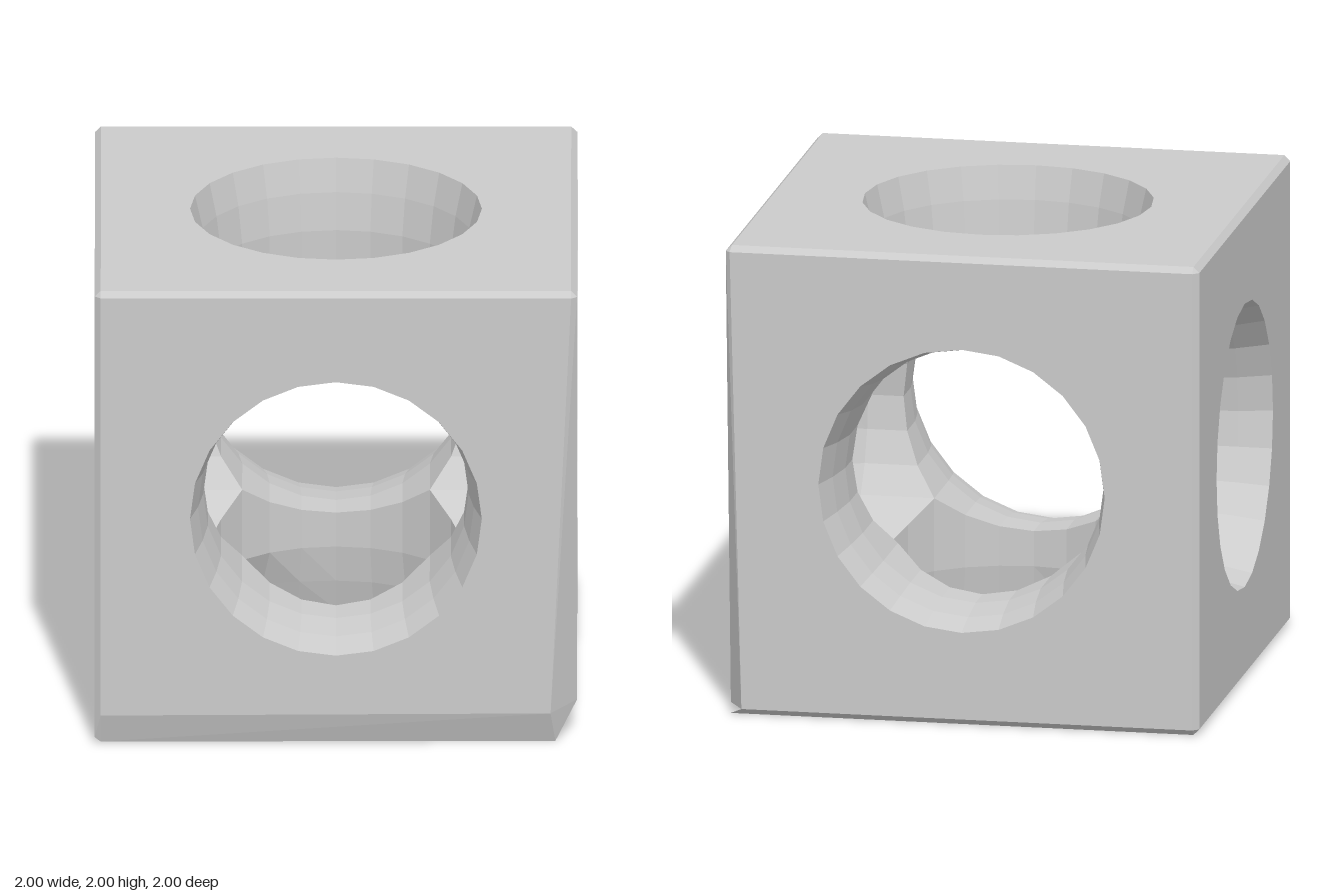
import * as THREE from 'three';

const N = 24;       // sides of each bore
const R = 0.55;     // bore radius
const BEVEL = 0.025;

// Wider edge wear: 'face + neighbouring side': inset at the two ends of that edge
const WORN = {
  'z+y-': [0.13, 0.14], 'y-z+': [0.04, 0.05],
  'x+y-': [0.02, 0.15], 'y-x+': [0.02, 0.09],
  'z+x+': [0.11, 0.025], 'x+z+': [0.14, 0.02],
  'x+z-': [0.13, 0.02], 'z-x+': [0.07, 0.02],
};
const key = (axis, sign) => 'xyz'[axis] + (sign > 0 ? '+' : '-');

// Distance a face is held back from its neighbour, at one end of their edge
function inset(a, sa, b, sb, end) {
  const worn = WORN[key(a, sa) + key(b, sb)];
  return worn ? worn[end > 0 ? 1 : 0] : BEVEL;
}

// Corner of face (axis a) nearest the cube corner with the given signs
function faceCorner(a, signs) {
  const p = [...signs], b = (a + 1) % 3, c = (a + 2) % 3;
  p[b] *= 1 - inset(a, signs[a], b, signs[b], signs[c]);
  p[c] *= 1 - inset(a, signs[a], c, signs[c], signs[b]);
  return new THREE.Vector3(...p);
}

// Put a point given in face coordinates (depth, u, v) into space
function place(a, depth, u, v) {
  const p = [0, 0, 0];
  p[a] = depth; p[(a + 1) % 3] = u; p[(a + 2) % 3] = v;
  return new THREE.Vector3(...p);
}

// Hole outline at the surface: round, with squared-off flares on two faces
function rimRadius(a, s, cos, sin) {
  const box = Math.max(Math.abs(cos), Math.abs(sin));
  if (a === 0 && s > 0) return cos > 0 ? Math.min(0.67 / box, 0.85) : 0.67 - 0.01 * (1 + cos);
  if (a === 1 && s < 0) return sin < 0 ? Math.min(0.61 / box, 0.83) : 0.61;
  return 0.605;
}

// Collect triangles, turning each one to face the hinted direction
function surface(name) {
  const pts = [];
  const tri = (p, q, r, hint) => {
    const n = q.clone().sub(p).cross(r.clone().sub(p));
    if (n.lengthSq() < 1e-12) return;
    pts.push(...(n.dot(hint) < 0 ? [p, r, q] : [p, q, r]));
  };
  const quad = (p, q, r, s, hint) => { tri(p, q, r, hint); tri(p, r, s, hint); };
  const mesh = () => {
    const geometry = new THREE.BufferGeometry().setFromPoints(pts);
    geometry.computeVertexNormals();
    const material = new THREE.MeshStandardMaterial({ color: 0xcccccc, flatShading: true });
    const m = new THREE.Mesh(geometry, material);
    m.name = name;
    return m;
  };
  return { tri, quad, mesh };
}

// Flat face around a hole, and the flared half bore behind it
function buildSide(a, s) {
  const plate = surface('facePlate'), bore = surface('boreWall');
  const corner = (su, sv) => faceCorner(a, place(a, s, su, sv).toArray());
  const [c00, c10, c01, c11] = [corner(-1, -1), corner(1, -1), corner(-1, 1), corner(1, 1)];

  const columns = [];
  for (let i = 0; i <= N; i++) {
    const t = (i / N) * Math.PI * 2, cos = Math.cos(t), sin = Math.sin(t);
    const box = Math.max(Math.abs(cos), Math.abs(sin));
    const u = (cos / box + 1) / 2, v = (sin / box + 1) / 2;
    const outer = c00.clone().lerp(c10, u).lerp(c01.clone().lerp(c11, u), v);
    const rim = rimRadius(a, s, cos, sin);
    // rim, flare, straight wall, then the line where the bores meet
    const profile = [[rim, 1], [R + (rim - R) * 0.4, 0.86], [R, 0.7], [R, R * box]];
    columns.push({
      outer,
      wall: profile.map(([r, d]) => place(a, s * d, r * cos, r * sin)),
      inward: place(a, 0, -cos, -sin),
    });
  }
  for (let i = 0; i < N; i++) {
    const p = columns[i], q = columns[i + 1];
    plate.quad(p.outer, q.outer, q.wall[0], p.wall[0], place(a, s, 0, 0));
    const hint = p.inward.clone().add(q.inward);
    for (let k = 0; k < 3; k++) bore.quad(p.wall[k], q.wall[k], q.wall[k + 1], p.wall[k + 1], hint);
  }
  const side = new THREE.Group();
  side.name = ['side', 'vertical', 'frontBack'][a] + (s > 0 ? 'PlusFace' : 'MinusFace');
  side.add(plate.mesh(), bore.mesh());
  return side;
}

// Worn bevels on the twelve edges and eight corners
function buildBevels() {
  const bevels = surface('edgeBevels');
  for (const s of [-1, 1]) for (const t of [-1, 1]) {
    for (let a = 0; a < 3; a++) {
      const b = (a + 1) % 3;
      const at = (end) => place(a, s, t, end).toArray();
      bevels.quad(faceCorner(a, at(-1)), faceCorner(a, at(1)),
        faceCorner(b, at(1)), faceCorner(b, at(-1)), place(a, s, t, 0));
    }
    for (const w of [-1, 1]) {
      const signs = [s, t, w];
      bevels.tri(...[0, 1, 2].map((a) => faceCorner(a, signs)), new THREE.Vector3(...signs));
    }
  }
  return bevels.mesh();
}

export function createModel() {
  const model = new THREE.Group();
  model.name = 'boredCube';
  for (let a = 0; a < 3; a++) for (const s of [-1, 1]) model.add(buildSide(a, s));
  model.add(buildBevels());
  model.position.y = 1;
  return model;
}
